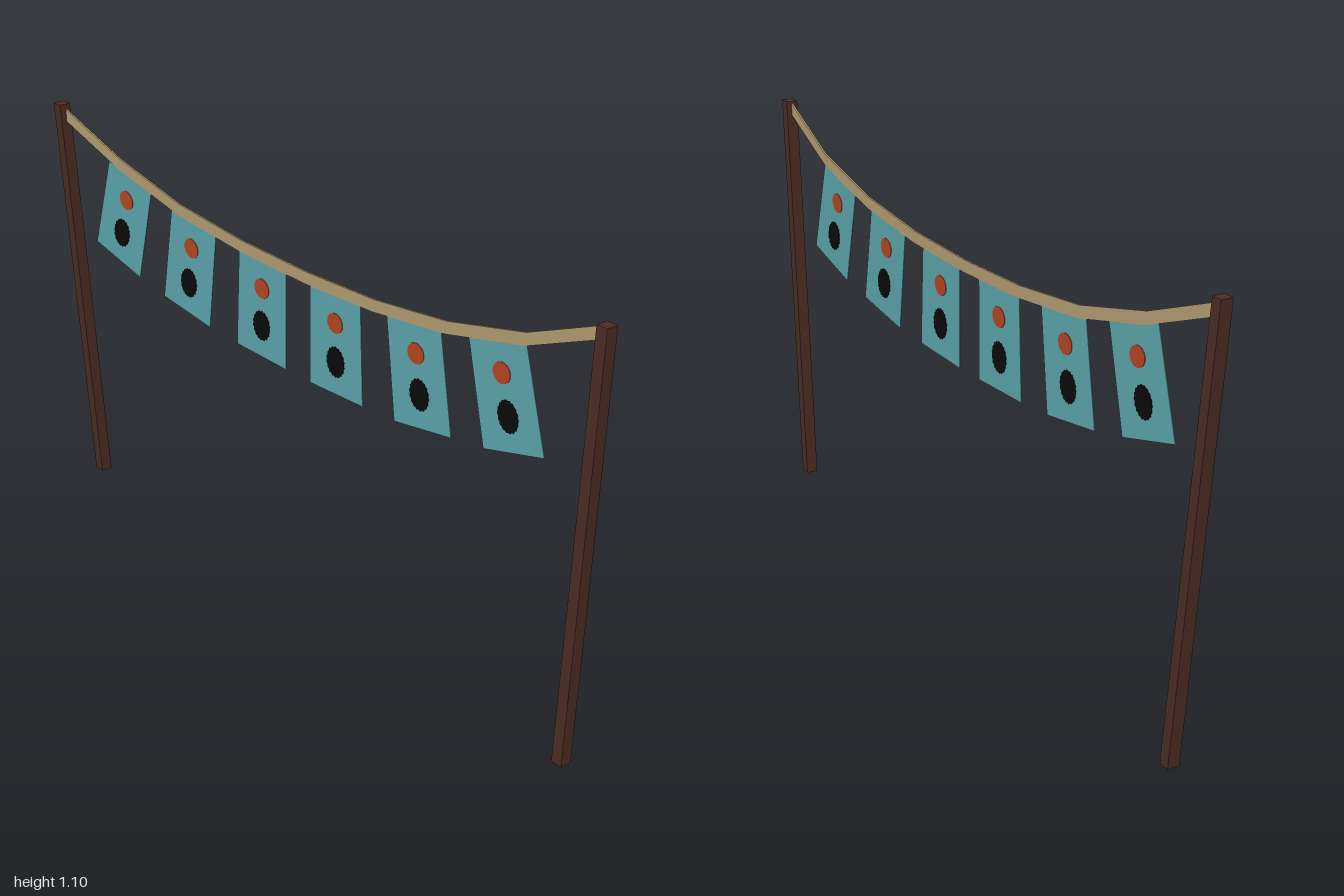
import * as THREE from 'three';

const mat = (name, color, side = THREE.FrontSide) => {
  const m = new THREE.MeshStandardMaterial({ color, side });
  m.name = name;
  return m;
};

// Centre line of the cord, from the right post to the left post
const CORD = [
  [-0.985, 1.07, 0.028], [-0.75, 0.982, 0.008], [-0.5, 0.923, -0.005],
  [-0.25, 0.898, -0.014], [0, 0.891, -0.02], [0.25, 0.898, -0.025],
  [0.5, 0.925, -0.03], [0.75, 0.982, -0.033], [0.985, 1.08, -0.028],
].map((p) => new THREE.Vector3(...p));

// Point on the cord at a given x, with the yaw of that stretch
function cordAt(x) {
  let i = 0;
  while (i < CORD.length - 2 && CORD[i + 1].x < x) i++;
  const a = CORD[i], b = CORD[i + 1];
  const point = a.clone().lerp(b, (x - a.x) / (b.x - a.x));
  return { point, yaw: -Math.atan2(b.z - a.z, b.x - a.x) };
}

// Square post leaning from its foot to its head, with level ends
function post(name, foot, head, material) {
  const height = 1.095, w = 0.031;
  const geo = new THREE.BoxGeometry(w, height, w).translate(0, height / 2, 0);
  const p = geo.attributes.position;
  for (let i = 0; i < p.count; i++) {
    const [x, z] = p.getY(i) > height / 2 ? head : foot;
    p.setX(i, p.getX(i) + x);
    p.setZ(i, p.getZ(i) + z);
  }
  geo.computeVertexNormals();
  const mesh = new THREE.Mesh(geo, material);
  mesh.name = name;
  return mesh;
}

// Thin flat strip lofted along the cord line with crisp bends
function cord(material) {
  const h = 0.016, t = 0.0025;
  const section = [[-h, t], [h, t], [h, -t], [-h, -t]];
  const rings = CORD.map((c) => section.map(([y, z]) => [c.x, c.y + y, c.z + z]));
  const pos = [];
  for (let i = 0; i < rings.length - 1; i++) {
    for (let j = 0; j < 4; j++) {
      const k = (j + 1) % 4;
      const a = rings[i][j], b = rings[i + 1][j], c = rings[i + 1][k], d = rings[i][k];
      pos.push(...a, ...b, ...c, ...a, ...c, ...d);
    }
  }
  const geo = new THREE.BufferGeometry();
  geo.setAttribute('position', new THREE.Float32BufferAttribute(pos, 3));
  geo.computeVertexNormals();
  const mesh = new THREE.Mesh(geo, material);
  mesh.name = 'cord';
  return mesh;
}

// Outline extruded to a plate centred on z = 0
function plate(name, points, thickness, material) {
  const shape = new THREE.Shape(points.map(([x, y]) => new THREE.Vector2(x, y)));
  const geo = new THREE.ExtrudeGeometry(shape, { depth: thickness, bevelEnabled: false });
  geo.translate(0, 0, -thickness / 2);
  const mesh = new THREE.Mesh(geo, material);
  mesh.name = name;
  return mesh;
}

// Oval outline, optionally with a ragged edge
function oval(cx, cy, rx, ry, count, ragged = 0) {
  return Array.from({ length: count }, (_, i) => {
    const a = (i / count) * Math.PI * 2;
    const r = 1 + (i % 2 ? ragged : -ragged);
    return [cx + Math.cos(a) * rx * r, cy + Math.sin(a) * ry * r];
  });
}

export function createModel() {
  const wood = mat('dark wood', 0x4a2b22);
  const rope = mat('tan cord', 0xb09a70);
  const cloth = mat('teal cloth', 0x5aa2a8);
  const red = mat('rust red paint', 0xb24420);
  const black = mat('black paint', 0x0a0a0a);

  const model = new THREE.Group();
  model.name = 'flagLine';
  model.add(
    post('rightPost', [-0.934, -0.02], [-0.984, 0.031], wood),
    post('leftPost', [0.942, -0.02], [0.984, -0.029], wood),
    cord(rope),
  );

  // Flags: position along the cord and tilt in degrees
  const flags = [[-0.7, -14.5], [-0.436, -8], [-0.16, -1.5], [0.115, 1.5], [0.39, 8.5], [0.66, 14.5]];
  flags.forEach(([x, tilt], i) => {
    const { point, yaw } = cordAt(x);
    const flag = new THREE.Group();
    flag.name = `flag${i + 1}`;
    flag.position.copy(point);
    flag.rotation.set(0, yaw, THREE.MathUtils.degToRad(tilt));
    flag.add(
      plate('cloth', [[-0.092, 0], [-0.098, -0.272], [0.098, -0.272], [0.092, 0]], 0.002, cloth),
      plate('redDot', oval(0, -0.086, 0.028, 0.026, 16), 0.005, red),
      plate('blackSpot', oval(0, -0.187, 0.032, 0.039, 36, 0.04), 0.005, black),
    );
    model.add(flag);
  });
  return model;
}
